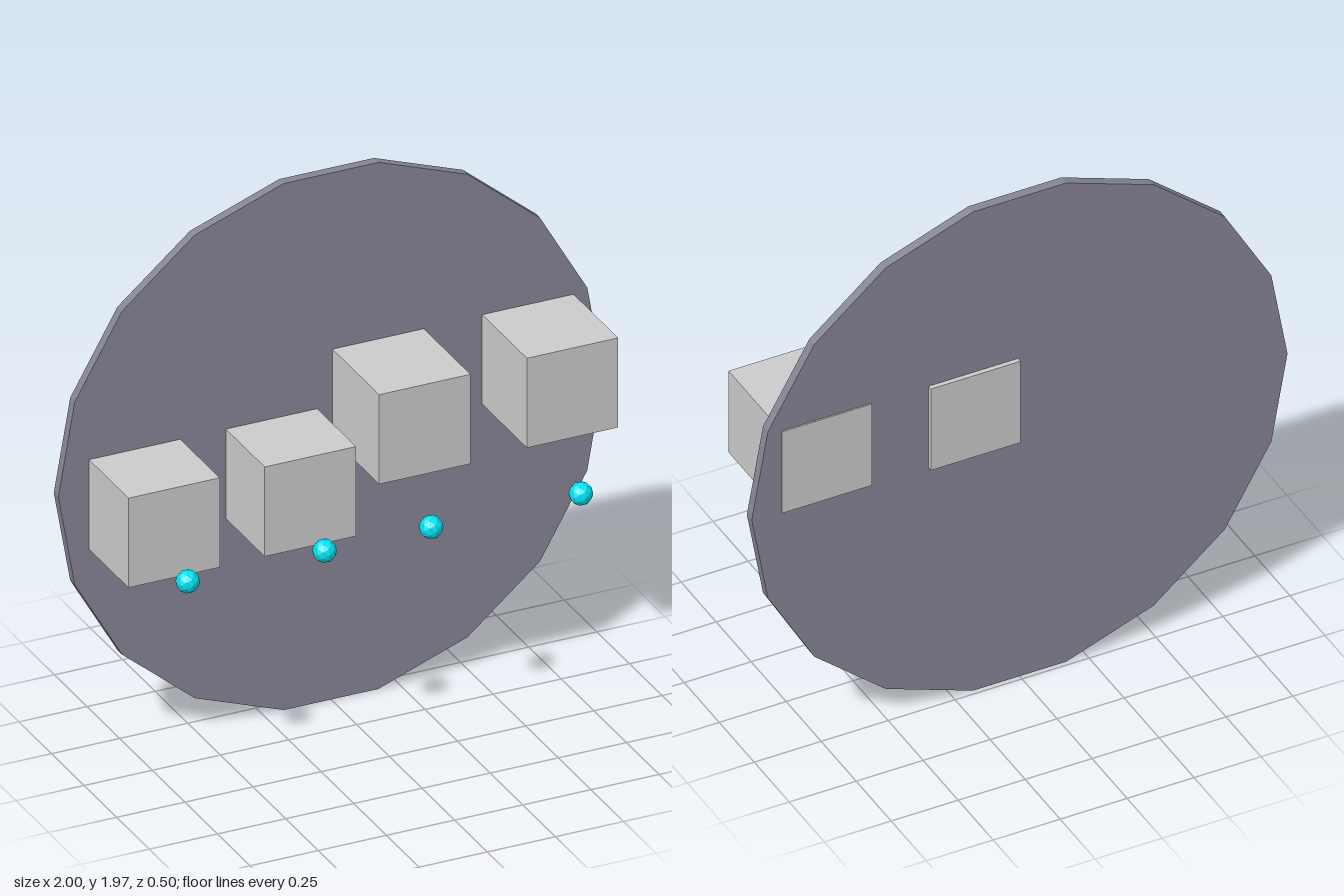
import * as THREE from 'three';

export function createModel() {
  const model = new THREE.Group();
  const discMaterial = new THREE.MeshStandardMaterial({ color: 0x868595, flatShading: true });
  const blockMaterial = new THREE.MeshStandardMaterial({ color: 0xcccccc, flatShading: true });
  const beadMaterial = new THREE.MeshStandardMaterial({ color: 0x00e0f0, flatShading: true });

  const add = (name, geometry, material, x, y, z) => {
    const mesh = new THREE.Mesh(geometry, material);
    mesh.name = name;
    mesh.position.set(x, y, z);
    model.add(mesh);
    return mesh;
  };

  // Upright 18-sided back disc, with a flat edge at the bottom and corners at the sides
  const discGeometry = new THREE.CylinderGeometry(1, 1, 0.035, 18)
    .rotateY(Math.PI / 2)
    .rotateX(Math.PI / 2);
  add('backDisc', discGeometry, discMaterial, 0, 0.985, -0.215);

  // Blocks set into the disc: centre x, centre y, back z, front z
  const blocks = [
    [-0.72, 0.932, -0.22, 0.105],
    [-0.218, 0.932, -0.22, 0.1],
    [0.173, 1.142, -0.25, 0.16],
    [0.722, 1.146, -0.238, 0.145],
  ];
  const beadGeometry = new THREE.IcosahedronGeometry(0.041, 1);
  blocks.forEach(([x, y, back, front], i) => {
    const block = new THREE.BoxGeometry(0.335, 0.335, front - back);
    add(`block${i + 1}`, block, blockMaterial, x, y, (back + front) / 2);
    // One floating bead in front of each block
    add(`bead${i + 1}`, beadGeometry, beadMaterial, x, 0.8, 0.209);
  });

  return model;
}
